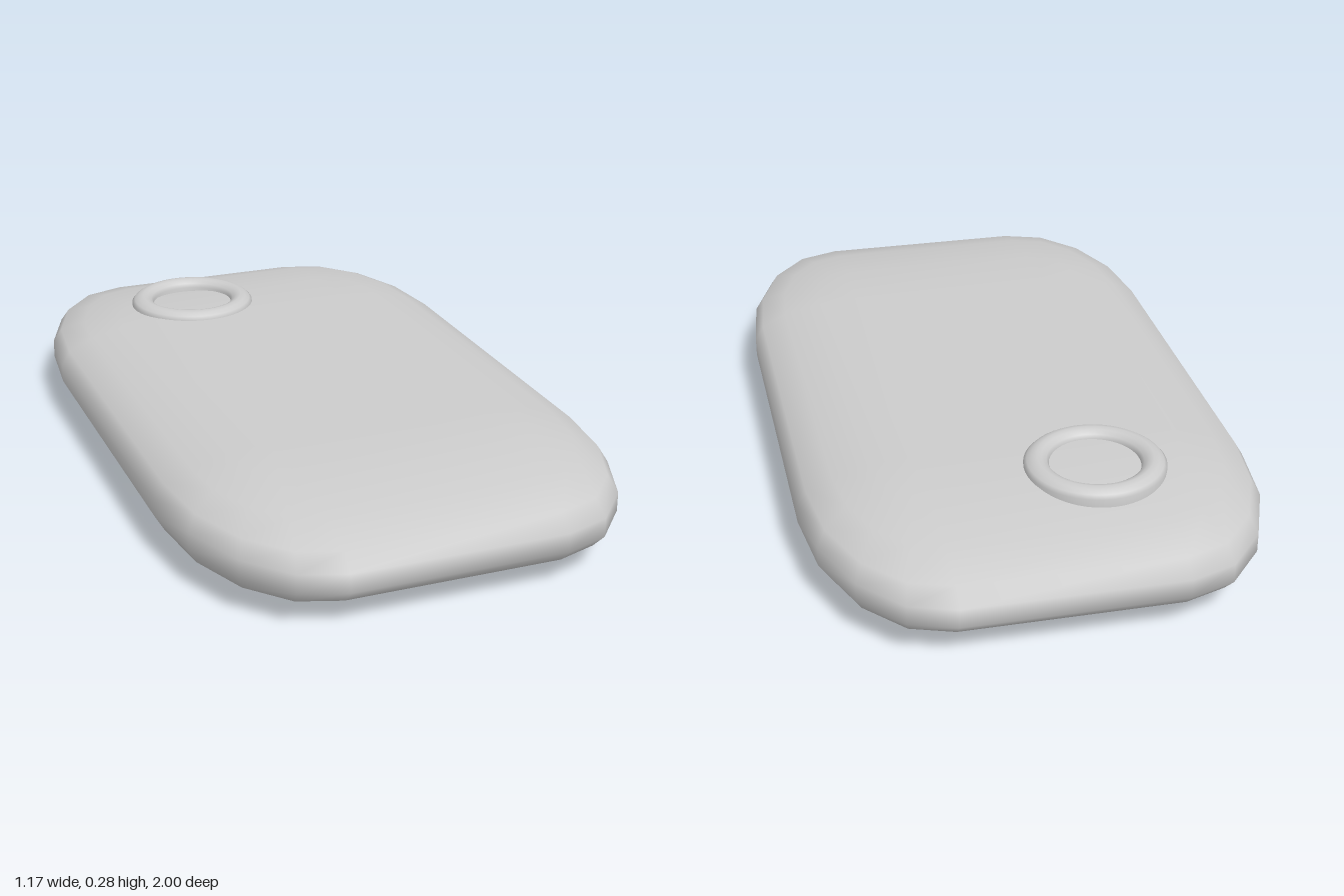
import * as THREE from 'three';

const material = new THREE.MeshStandardMaterial({ color: 0xcccccc });

// Slab with elliptical rounding: each octant of a coarse ellipsoid is pushed out to a box corner.
function roundedSlab(core, radius, steps) {
  const positions = [], index = [];
  const rows = 2 * (steps + 1), cols = 4 * (steps + 1);
  for (let r = 0; r < rows; r++) {
    const upper = r > steps;
    const phi = ((r - (upper ? 1 : 0)) / steps - 1) * Math.PI / 2;
    for (let c = 0; c < cols; c++) {
      const quad = Math.floor(c / (steps + 1));
      const theta = ((c - quad) / steps) * Math.PI / 2;
      const sx = quad === 0 || quad === 3 ? 1 : -1;
      const sz = quad < 2 ? 1 : -1;
      positions.push(
        sx * core.x + radius.x * Math.cos(phi) * Math.cos(theta),
        (upper ? 1 : -1) * core.y + radius.y * Math.sin(phi),
        sz * core.z + radius.z * Math.cos(phi) * Math.sin(theta));
    }
  }
  for (let r = 0; r < rows - 1; r++) {
    for (let c = 0; c < cols; c++) {
      const n = (c + 1) % cols;
      const a = r * cols + c, b = r * cols + n, d = a + cols, e = b + cols;
      index.push(a, d, b, b, d, e);
    }
  }
  // Flat bottom and top, joined across the four corner poles
  const q = [0, 1, 2, 3].map(i => i * (steps + 1));
  const t = q.map(i => i + (rows - 1) * cols);
  index.push(q[0], q[1], q[2], q[0], q[2], q[3]);
  index.push(t[0], t[2], t[1], t[0], t[3], t[2]);
  // Rows at the poles collapse to points, so share one vertex per corner
  const shared = index.map(i => {
    const row = Math.floor(i / cols), col = i % cols;
    const pole = row === 0 || row === rows - 1;
    return pole ? row * cols + Math.floor(col / (steps + 1)) * (steps + 1) : i;
  });
  const solid = [];
  for (let i = 0; i < shared.length; i += 3) {
    const [a, b, c] = shared.slice(i, i + 3);
    if (a !== b && b !== c && a !== c) solid.push(a, b, c);
  }
  const geometry = new THREE.BufferGeometry();
  geometry.setAttribute('position', new THREE.Float32BufferAttribute(positions, 3));
  geometry.setIndex(solid);
  geometry.computeVertexNormals();
  return geometry;
}

export function createModel() {
  const group = new THREE.Group();
  group.name = 'pocketDevice';

  // Pebble-like body
  const body = new THREE.Mesh(roundedSlab(
    new THREE.Vector3(0.28, 0.025, 0.47),
    new THREE.Vector3(0.307, 0.103, 0.53), 4), material);
  body.name = 'body';
  body.position.y = 0.128;
  group.add(body);

  // Raised ring near the back edge; the body shows through its opening
  const profile = [
    [0.18, 0.225], [0.18, 0.257], [0.172, 0.266], [0.16, 0.274], [0.146, 0.277],
    [0.134, 0.274], [0.122, 0.266], [0.116, 0.255], [0.115, 0.225],
  ].map(([r, y]) => new THREE.Vector2(r, y)).reverse();
  const ringMaterial = material.clone();
  ringMaterial.side = THREE.DoubleSide;
  const ring = new THREE.Mesh(new THREE.LatheGeometry(profile.reverse(), 48), ringMaterial);
  ring.name = 'buttonRing';
  ring.position.set(-0.15, 0, -0.595);
  group.add(ring);

  return group;
}
